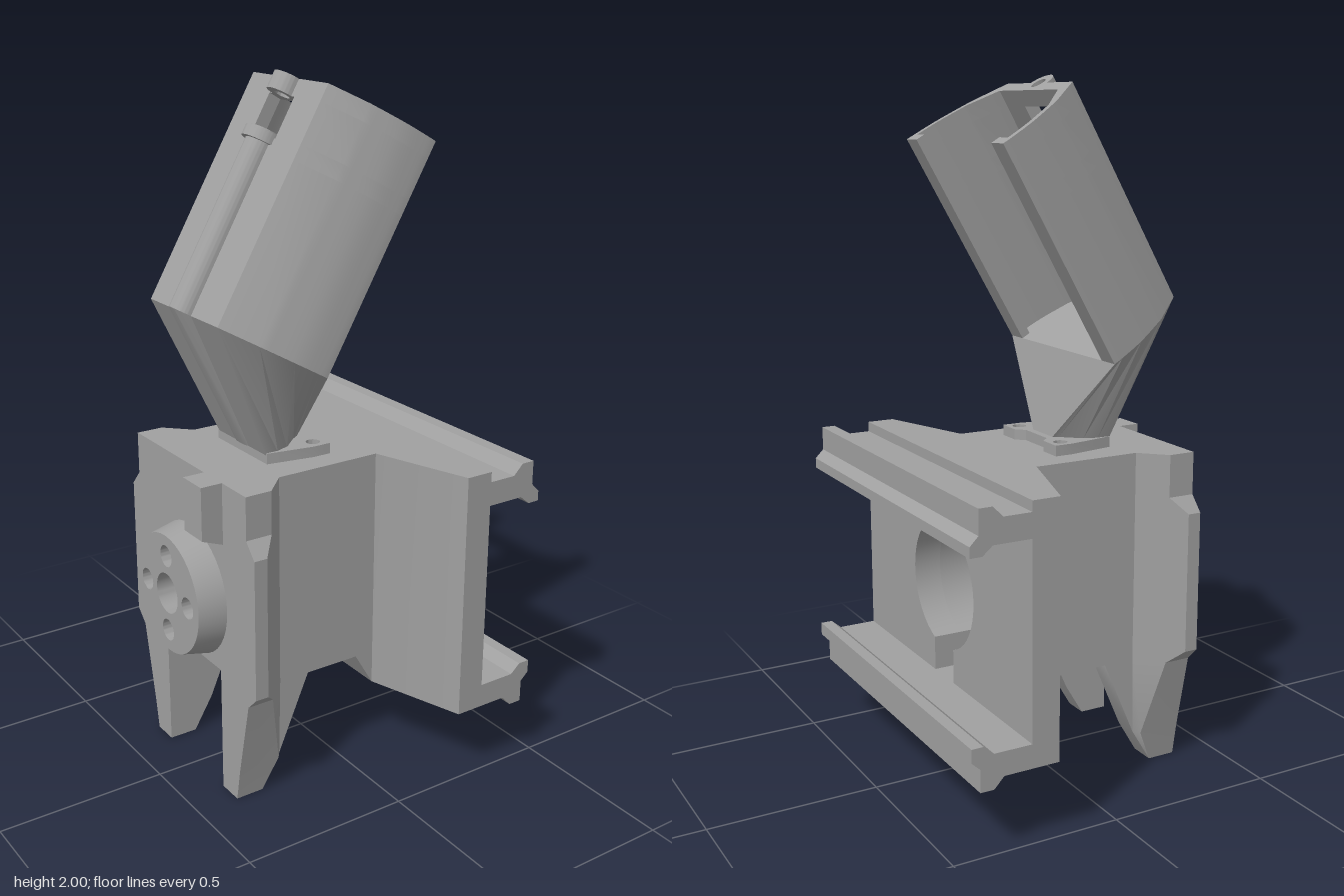
import * as THREE from 'three';
import { toCreasedNormals } from 'three/addons/utils/BufferGeometryUtils.js';

const V = (x, y, z) => new THREE.Vector3(x, y, z);
const TOP = 0.955, CY = 0.578, BORE = 0.19;

export function createModel() {
  const model = new THREE.Group();
  const grey = new THREE.MeshStandardMaterial({ color: 0xa0a0a0 });
  grey.name = 'plain grey';

  const add = (name, geo, parent = model) => {
    const mesh = new THREE.Mesh(toCreasedNormals(geo, 0.5), grey);
    mesh.name = name;
    parent.add(mesh);
    return mesh;
  };
  const poly = pts => new THREE.Shape(pts.map(p => new THREE.Vector2(p[0], p[1])));
  const hole = (shape, x, y, r) => {
    shape.holes.push(new THREE.Path().absarc(x, y, r, 0, Math.PI * 2, true));
    return shape;
  };
  const extrude = (shape, depth) =>
    new THREE.ExtrudeGeometry(shape, { depth, bevelEnabled: false, curveSegments: 20 });
  // extrude a (z, y) shape along x
  const alongX = (shape, x0, x1) => extrude(shape, x1 - x0).rotateY(Math.PI / 2).translate(x0, 0, 0);
  // extrude an (x, y) shape along z
  const alongZ = (pts, z0, z1) => extrude(poly(pts), z1 - z0).translate(0, 0, z0);
  // skin between rings of equal point count, with capped ends
  const loft = rings => {
    const n = rings[0].length, tris = [];
    for (let r = 0; r + 1 < rings.length; r++)
      for (let i = 0; i < n; i++) {
        const j = (i + 1) % n, a = rings[r], b = rings[r + 1];
        tris.push([a[i], a[j], b[j]], [a[i], b[j], b[i]]);
      }
    const first = rings[0], last = rings[rings.length - 1];
    for (let i = 1; i + 1 < n; i++) {
      tris.push([first[0], first[i + 1], first[i]], [last[0], last[i], last[i + 1]]);
    }
    const volume = tris.reduce((s, [a, b, c]) => s + a.dot(b.clone().cross(c)), 0);
    if (volume < 0) tris.forEach(t => t.reverse());
    return new THREE.BufferGeometry().setFromPoints(tris.flat());
  };

  // section with a round bore that opens downward through a slot
  const keyhole = (w, h, y0) => {
    const phi = Math.asin(h / BORE);
    const s = poly([[h, y0], [w, y0], [w, TOP], [-w, TOP], [-w, y0], [-h, y0]]);
    s.absarc(0, CY, BORE, -Math.PI / 2 - phi, -Math.PI / 2 + phi, true);
    return s;
  };

  // main body and flared transition
  add('bodyCore', alongX(keyhole(0.23, 0.155, 0.33), -0.335, 0.1));
  const flare = alongX(keyhole(0.23, 0.06, 0.228), 0.1, 0.195);
  const p = flare.attributes.position;
  for (let i = 0; i < p.count; i++)
    if (p.getX(i) > 0.18 && Math.abs(p.getZ(i)) > 0.22) p.setZ(i, Math.sign(p.getZ(i)) * 0.52);
  add('bodyFlare', flare);
  add('mountingPlate', alongX(keyhole(0.52, 0.06, 0.228), 0.195, 0.277));

  // rails along the plate
  add('upperRail', alongZ([[0.195, TOP], [0.195, 0.855], [0.39, 0.855], [0.42, 0.83], [0.455, 0.83],
    [0.455, 0.86], [0.43, 0.885], [0.43, TOP], [0.39, TOP], [0.36, 0.925], [0.265, 0.925], [0.23, TOP]], -0.52, 0.52));
  add('lowerRail', alongZ([[0.195, 0.228], [0.36, 0.228], [0.39, 0.197], [0.43, 0.197], [0.43, 0.262],
    [0.455, 0.285], [0.455, 0.323], [0.42, 0.323], [0.39, 0.297], [0.195, 0.297]], -0.52, 0.52));

  // corner posts running down into legs: [y, outer z, rear x]
  const levels = [[0, 0.232, -0.29], [0.1, 0.25, -0.23], [0.33, 0.3, -0.13], [0.37, 0.34, -0.13],
    [0.785, 0.34, -0.13], [0.83, 0.3, -0.13], [TOP, 0.3, -0.13]];
  for (const s of [1, -1]) {
    add('postAndLeg', loft(levels.map(([y, w, e]) => [
      V(-0.375, y, s * 0.155), V(-0.375, y, s * w), V(Math.min(0.005 - w, e), y, s * w),
      V(Math.min(-0.225, e), y, s * 0.23), V(e, y, s * 0.23), V(e, y, s * 0.155)])));
    const z0 = s > 0 ? 0.06 : -0.23;
    add('flareGusset', alongZ([[0.04, 0.33], [0.1, 0.228], [0.1, 0.4], [0.04, 0.4]], z0, z0 + 0.17));
  }

  // back wall and round boss with bolt holes
  const drill = (shape, r) => {
    hole(shape, 0, CY, 0.06);
    for (let i = 0; i < 4; i++)
      hole(shape, 0.115 * Math.cos(i * Math.PI / 2), CY + 0.115 * Math.sin(i * Math.PI / 2), r);
    return shape;
  };
  add('backWall', alongX(drill(poly([[-0.2, 0.38], [0.2, 0.38], [0.2, TOP], [-0.2, TOP]]), 0.05), -0.375, -0.335));
  const disc = new THREE.Shape().absarc(0, CY, 0.195, 0, Math.PI * 2, false);
  const boss = alongX(drill(disc, 0.032), -0.455, -0.375), bp = boss.attributes.position;
  for (let i = 0; i < bp.count; i++) {
    const y = bp.getY(i) - CY, z = bp.getZ(i);
    if (bp.getX(i) < -0.45 && Math.hypot(y, z) > 0.18) bp.setXYZ(i, -0.455, CY + y * 0.91, z * 0.91);
  }
  add('boss', boss);
  add('rearClip', alongZ([[-0.44, TOP], [-0.44, 0.8], [-0.375, 0.775], [-0.375, TOP]], 0.085, 0.18));

  // foot plate of the holder with two screw lugs
  const foot = poly([[-0.2, -0.13], [-0.06, -0.155], [-0.005, -0.155], [-0.005, -0.085], [-0.03, -0.06],
    [-0.03, 0.06], [-0.005, 0.085], [-0.005, 0.155], [-0.06, 0.155], [-0.2, 0.13]]);
  for (const z of [-0.12, 0.12]) hole(foot, -0.04, z, 0.02);
  add('footPlate', extrude(foot, 0.033).rotateX(Math.PI / 2).translate(0, 0.986, 0));

  // tilted open holder: local x is depth, local y is width, local z is length
  const holder = new THREE.Group();
  holder.name = 'holder';
  const c = Math.cos(Math.PI / 6), u = V(-c, 0.5, 0), d = V(0.5, c, 0);
  const frame = new THREE.Matrix4().makeBasis(u, V(0, 0, 1), d).setPosition(-0.11, 1.23, 0);
  frame.decompose(holder.position, holder.quaternion, holder.scale);
  model.add(holder);

  const curve = pts => new THREE.SplineCurve(pts.map(q => new THREE.Vector2(...q))).getPoints(10).map(q => [q.x, q.y]);
  const outer = [...curve([[0, 0.29], [0.03, 0.289], [0.11, 0.278], [0.21, 0.245]]), [0.31, 0.18]];
  const inner = [[0.27, 0.163], ...curve([[0.19, 0.233], [0.1, 0.261], [0.028, 0.27]]), [0.028, 0.225], [0, 0.225]];
  // [start, end, half width of the opening in the back]
  for (const [s0, s1, gap] of [[0, 0.47, 0], [0.47, 0.515, 0.03], [0.515, 0.635, 0.06], [0.635, 0.685, 0.03]])
    for (const s of [1, -1]) {
      const pts = [...outer, [0.31, gap], [0.27, gap], ...inner].map(q => [q[0], s * q[1]]);
      add('holderShell', extrude(poly(pts), s1 - s0).translate(0, 0, s0), holder);
    }

  // rounded spine and top lug with pin holes
  const lug = (r, bore) => {
    const s = poly([[0.27, r], [0.27, -r], [0.309, -r]]);
    s.absarc(0.309, 0, r, -Math.PI / 2, Math.PI / 2, false);
    return bore ? hole(s, 0.309, 0, 0.022) : s;
  };
  add('spine', extrude(lug(0.042, false), 0.47), holder);
  add('spineEnd', extrude(lug(0.042, true), 0.06).translate(0, 0, 0.47), holder);
  add('spineCollar', extrude(lug(0.055, true), 0.03).translate(0, 0, 0.495), holder);
  add('topLug', extrude(lug(0.045, true), 0.05).translate(0, 0, 0.635), holder);

  // funnel neck between the foot and the holder
  const upper = [[0, 0.29], [0.03, 0.289], [0.11, 0.278], [0.21, 0.245], [0.31, 0.18]];
  const lower = [[-0.05, 0.05], [-0.065, 0.06], [-0.12, 0.11], [-0.16, 0.125], [-0.2, 0.125]];
  const both = pts => [...pts, ...pts.slice().reverse().map(q => [q[0], -q[1]])];
  add('neck', loft([
    both(lower).map(([x, z]) => V(x, 0.98, z)),
    both(upper).map(([a, z]) => V(a, z, 0).applyMatrix4(frame)),
  ]));
  add('neckSpine', loft([
    both([[-0.15, 0.035], [-0.2, 0.035], [-0.205, 0.02]]).map(([x, z]) => V(x, 0.98, z)),
    both([[0.28, 0.042], [0.32, 0.042], [0.351, 0.015]]).map(([a, z]) => V(a, z, 0).applyMatrix4(frame)),
  ]));
  return model;
}
